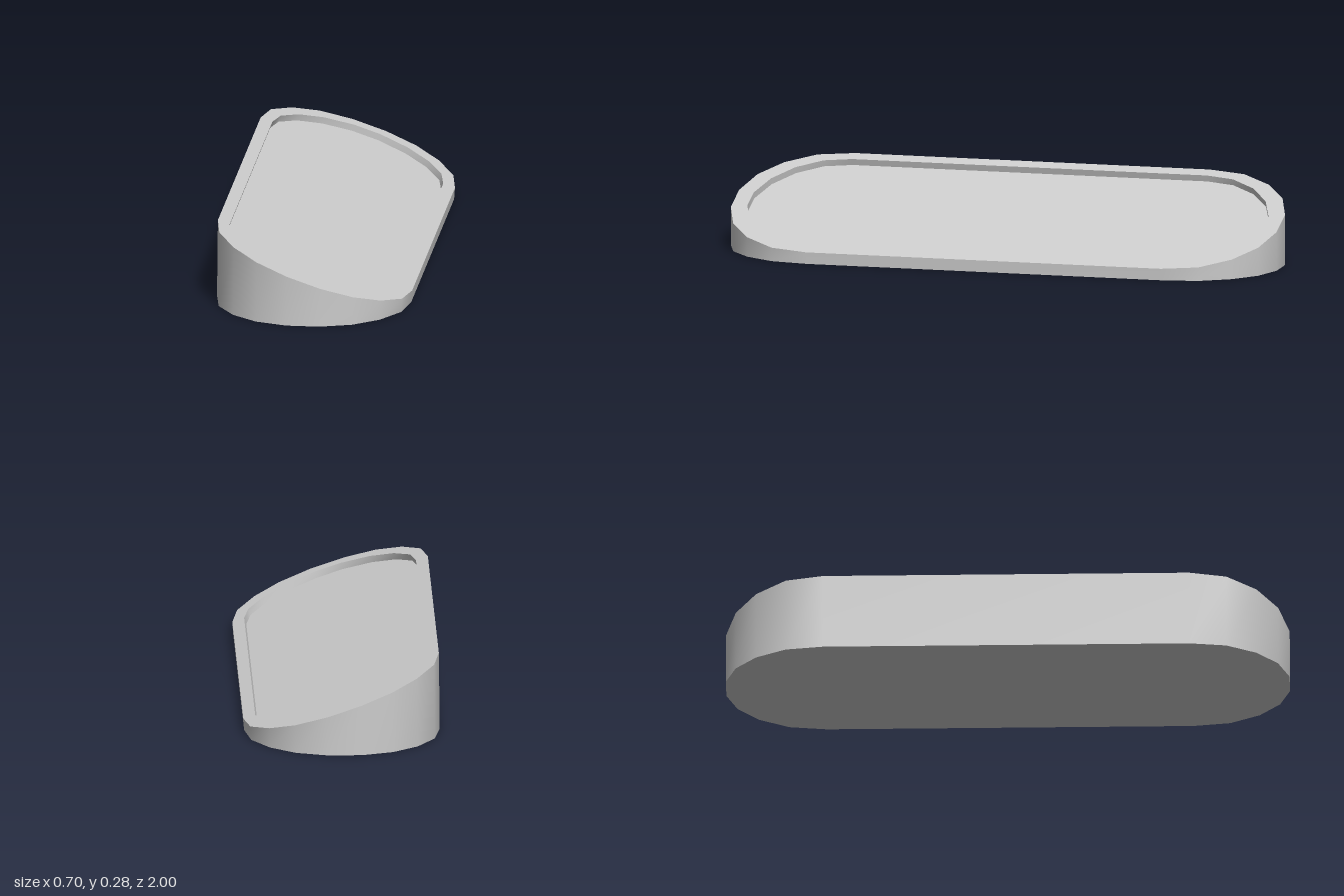
import * as THREE from 'three';

const SLOPE = 0.34, MID = 0.16, DEPTH = 0.024;
const topY = (x) => MID - SLOPE * x;

// Quarter outlines, from the long side round to the rounded end
const OUTER = [[0.347, 0.65], [0.326, 0.782], [0.262, 0.888], [0.172, 0.962], [0.06, 1]];
const INNER = [[0.305, 0.65], [0.287, 0.75], [0.232, 0.838], [0.148, 0.906], [0.046, 0.943]];

// Mirrors a quarter outline into a closed loop, anticlockwise from above
function loop(quarter, place) {
  const back = [...quarter].reverse();
  return [
    ...quarter.map(([x, z]) => [x, -z]), ...back.map(([x, z]) => [-x, -z]),
    ...quarter.map(([x, z]) => [-x, z]), ...back.map(([x, z]) => [x, z]),
  ].map(([x, z]) => place(x, z));
}

function geometry(points, index) {
  const g = new THREE.BufferGeometry();
  g.setAttribute('position', new THREE.Float32BufferAttribute(points.flat(), 3));
  g.setIndex(index);
  g.computeVertexNormals();
  return g;
}

// Strip of quads joining two loops
function band(a, b) {
  const n = a.length, index = [];
  for (let i = 0; i < n; i++) {
    const j = (i + 1) % n;
    index.push(i, j, n + j, i, n + j, n + i);
  }
  return geometry([...a, ...b], index);
}

// Flat fill of a convex loop
function cap(points, down = false) {
  const index = [];
  for (let i = 1; i < points.length - 1; i++) index.push(0, ...(down ? [i + 1, i] : [i, i + 1]));
  return geometry(points, index);
}

export function createModel() {
  const group = new THREE.Group();
  group.name = 'wedgeTray';
  const material = new THREE.MeshStandardMaterial({ color: 0xcccccc });
  const add = (name, geo) => {
    const mesh = new THREE.Mesh(geo, material);
    mesh.name = name;
    group.add(mesh);
  };

  // The recess sinks square to the sloping top
  const normal = new THREE.Vector2(SLOPE, 1).normalize().multiplyScalar(DEPTH);
  const base = loop(OUTER, (x, z) => [x - 0.003, 0, z]);
  const rimOuter = loop(OUTER, (x, z) => [x, topY(x), z]);
  const rimInner = loop(INNER, (x, z) => [x, topY(x), z]);
  const floor = loop(INNER, (x, z) => [x - normal.x, topY(x) - normal.y, z]);

  add('outerWall', band(base, rimOuter));
  add('rim', band(rimOuter, rimInner));
  add('recessWall', band(rimInner, floor));
  add('recessFloor', cap(floor));
  add('underside', cap(base, true));
  return group;
}
